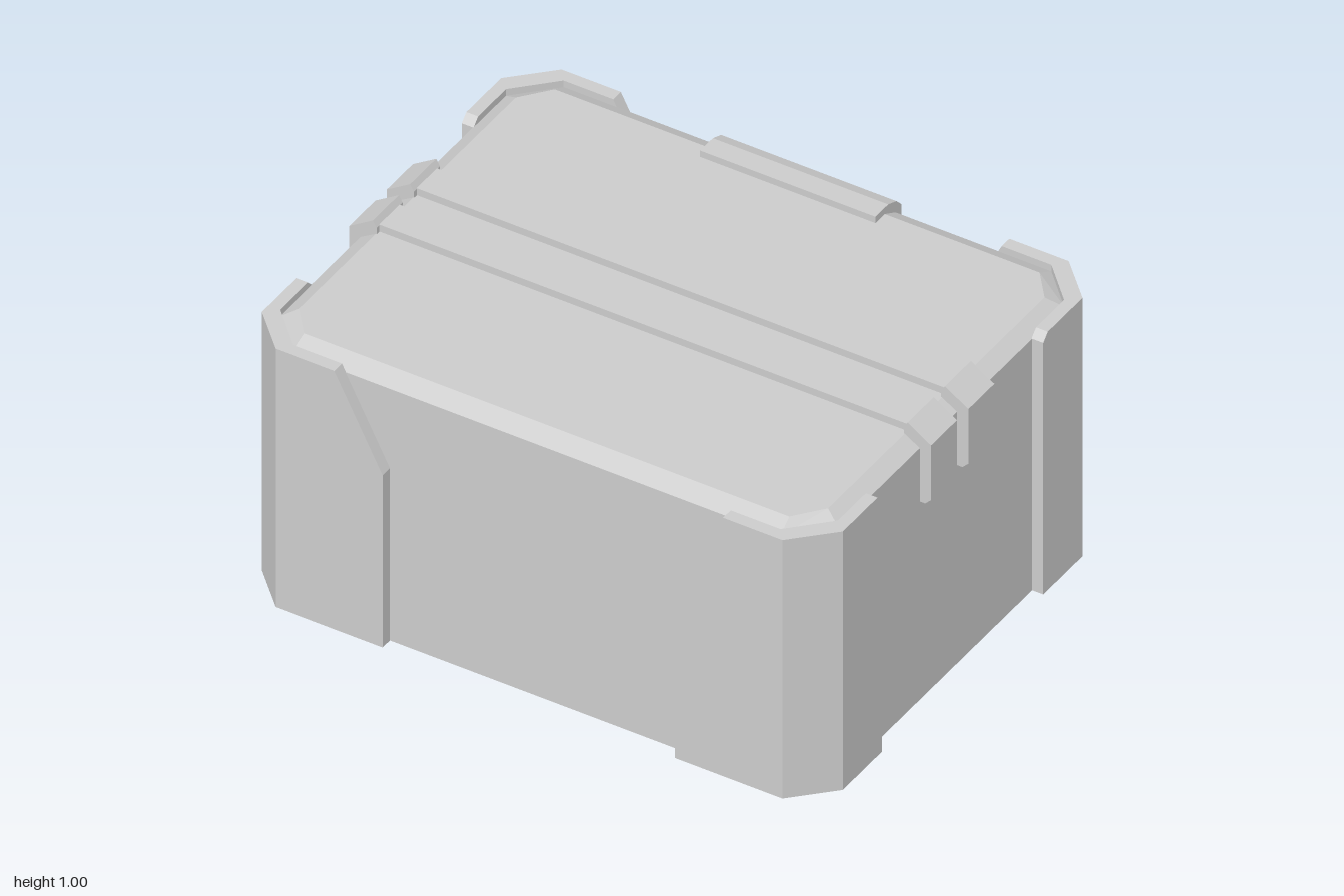
import * as THREE from 'three';

const material = new THREE.MeshStandardMaterial({ color: 0xcccccc, flatShading: true });
const ZC = 0.007; // the case sits slightly forward because the latch sticks out behind

function add(parent, name, geometry) {
  const mesh = new THREE.Mesh(geometry, material);
  mesh.name = name;
  parent.add(mesh);
  return mesh;
}

// Closed solid through a list of equal-length rings of [x, y, z], with fan caps.
function loft(rings) {
  const tris = [];
  const n = rings[0].length;
  for (let i = 0; i < rings.length - 1; i++) {
    for (let j = 0; j < n; j++) {
      const k = (j + 1) % n;
      const [a, b, c, d] = [rings[i][j], rings[i][k], rings[i + 1][k], rings[i + 1][j]];
      tris.push([a, b, c], [a, c, d]);
    }
  }
  const last = rings[rings.length - 1];
  for (let j = 1; j < n - 1; j++) {
    tris.push([rings[0][0], rings[0][j + 1], rings[0][j]]);
    tris.push([last[0], last[j], last[j + 1]]);
  }
  // turn the solid outward if it was wound inward
  const v = (p) => new THREE.Vector3(...p);
  const volume = tris.reduce((s, [a, b, c]) => s + v(a).dot(v(b).cross(v(c))), 0);
  if (volume < 0) tris.forEach((t) => t.reverse());
  const geometry = new THREE.BufferGeometry();
  geometry.setAttribute('position', new THREE.Float32BufferAttribute(tris.flat(2), 3));
  geometry.computeVertexNormals();
  return geometry;
}

// Rectangle with cut corners: half sizes hx, hz and corner start cx, cz.
function octagon(y, hx, hz, cx, cz) {
  return [[cx, hz], [hx, cz], [hx, -cz], [cx, -hz], [-cx, -hz], [-hx, -cz], [-hx, cz], [-cx, hz]]
    .map(([x, z]) => [x, y, z]);
}

// Extrude a flat profile, centred on its depth.
function extrude(points, depth) {
  const shape = new THREE.Shape(points.map(([x, y]) => new THREE.Vector2(x, y)));
  const geometry = new THREE.ExtrudeGeometry(shape, { depth, bevelEnabled: false });
  return geometry.translate(0, 0, -depth / 2);
}

export function createModel() {
  const model = new THREE.Group();
  model.name = 'storageCase';

  // Body with a bevelled lid edge
  add(model, 'body', loft([
    octagon(0, 0.957, 0.747, 0.835, 0.622),
    octagon(0.92, 0.957, 0.747, 0.835, 0.622),
    octagon(0.952, 0.905, 0.688, 0.83, 0.595),
  ])).position.z = ZC;

  // Corner guards: outer x, outer z, inner x, inner z, top height
  const stations = [
    [0.5, 0.787, 0.5, 0.745, 0.63],
    [0.665, 0.787, 0.665, 0.745, 0.945],
    [0.868, 0.787, 0.835, 0.745, 0.945],
    [0.995, 0.659, 0.955, 0.622, 0.945],
    [0.995, 0.468, 0.955, 0.468, 0.945],
    [0.995, 0.443, 0.955, 0.443, 0.92],
  ];
  for (const sx of [-1, 1]) {
    for (const sz of [-1, 1]) {
      const rings = stations.map(([ox, oz, ix, iz, top]) => [
        [sx * ox, 0, sz * oz], [sx * ox, top, sz * oz],
        [sx * ix, top, sz * iz], [sx * ix, 0, sz * iz],
      ]);
      add(model, 'cornerGuard', loft(rings)).position.z = ZC;
    }
  }

  // Straps across the lid, with a clip over each end
  const clip = [
    [0.95, 0.725], [0.975, 0.725], [0.995, 0.745], [0.995, 0.945],
    [0.915, 0.997], [0.902, 0.975], [0.902, 0.93], [0.95, 0.9],
  ];
  for (const sz of [-1, 1]) {
    const strap = new THREE.Group();
    strap.name = 'strap';
    strap.position.z = ZC + sz * 0.1025;
    model.add(strap);
    add(strap, 'strapBand', new THREE.BoxGeometry(1.82, 0.036, 0.112)).position.y = 0.959;
    for (const side of [0, Math.PI]) {
      add(strap, 'strapClip', extrude(clip, 0.143)).rotation.y = side;
    }
  }

  // Hinge plate folded over the back edge, with a thicker lower panel
  const plate = [
    [0.63, 0.94], [0.63, 0.975], [0.7, 0.975], [0.745, 0.958], [0.772, 0.93],
    [0.772, 0.04], [0.73, 0.04], [0.73, 0.9],
  ];
  const panel = [[0.74, 0.63], [0.785, 0.63], [0.797, 0.618], [0.797, 0.055], [0.775, 0.03], [0.74, 0.03]];
  add(model, 'hingePlate', extrude(plate, 0.6)).rotation.y = Math.PI / 2;
  add(model, 'hingePanel', extrude(panel, 0.6)).rotation.y = Math.PI / 2;

  return model;
}
